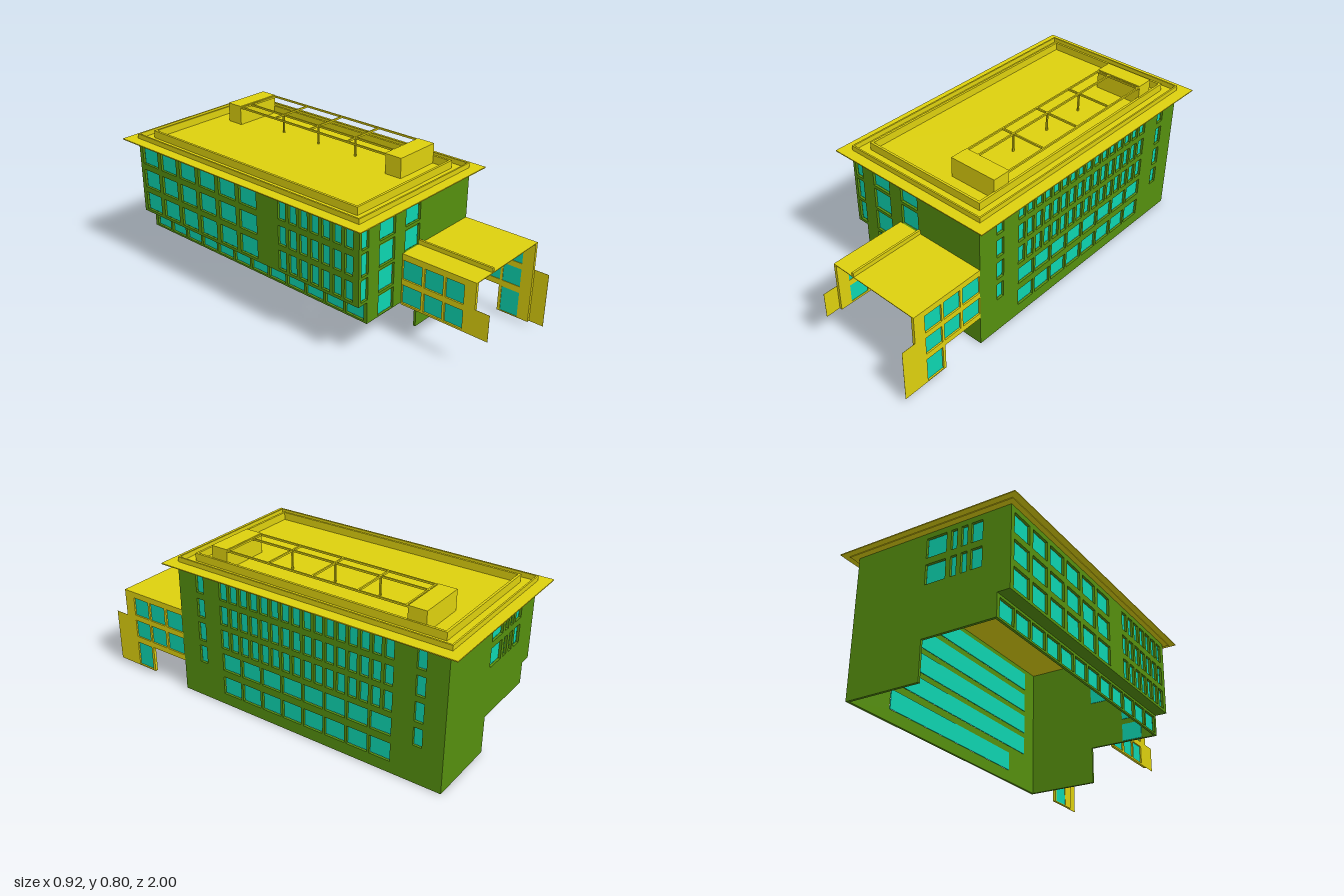
import * as THREE from 'three';

const mat = (color) => new THREE.MeshStandardMaterial({ color, side: THREE.DoubleSide, flatShading: true });
const T = 0.012; // wall thickness

export function createModel() {
  const model = new THREE.Group();
  const green = mat(0x558f0e), yellow = mat(0xddd00e), cyan = mat(0x0dd4b0);

  const add = (name, geometry, material, parent = model) => {
    const m = new THREE.Mesh(geometry, material);
    m.name = name;
    parent.add(m);
    return m;
  };
  // Box given by its limits on each axis
  const box = (name, material, x0, x1, y0, y1, z0, z1, parent) => {
    const m = add(name, new THREE.BoxGeometry(x1 - x0, y1 - y0, z1 - z0), material, parent);
    m.position.set((x0 + x1) / 2, (y0 + y1) / 2, (z0 + z1) / 2);
    return m;
  };
  // Flat outline with rectangular openings [u0, u1, y0, y1]
  const panel = (outline, openings) => {
    const s = new THREE.Shape(outline.map(([u, y]) => new THREE.Vector2(u, y)));
    for (const [a, b, c, d] of openings) {
      s.holes.push(new THREE.Path([[a, c], [a, d], [b, d], [b, c]].map(([u, y]) => new THREE.Vector2(u, y))));
    }
    return s;
  };
  const extrude = (shape, depth) => new THREE.ExtrudeGeometry(shape, { depth, bevelEnabled: false });

  // Wall with openings; glass strips run behind each storey. out = +1 if local +z faces outdoors
  const wall = (name, outline, rows, out, header = 0) => {
    const g = new THREE.Group();
    g.name = name;
    const openings = rows.flatMap(({ y, cols }) => cols.map(([a, b]) => [a, b, y[0], y[1] + header]));
    add(name + 'Shell', extrude(panel(outline, openings), T), green, g);
    const [z0, z1] = out > 0 ? [-0.004, -0.0005] : [T + 0.0005, T + 0.004];
    for (const { y, cols } of rows) {
      const us = cols.flat(), a = Math.min(...us), b = Math.max(...us);
      box('windowGlass', cyan, a, b, y[0], y[1], z0, z1, g);
      if (header) box('windowHeader', green, a, b, y[1], y[1] + header, z0, z1, g);
    }
    model.add(g);
    return g;
  };
  const series = (start, pitch, width, n) =>
    Array.from({ length: n }, (_, i) => [start + i * pitch, start + i * pitch + width]);

  // Storeys, top to bottom
  const Y = [[0.572, 0.668], [0.443, 0.54], [0.315, 0.413], [0.193, 0.285], [0.06, 0.155]];
  const X0 = -0.405, XS = -0.345, X1 = 0.4, Z0 = -0.94, Z1 = 0.53, TOP = 0.698;
  const stepped = [[X0, 0.3], [XS, 0.3], [XS, 0.19], [0.022, 0.19], [0.022, 0], [X1, 0], [X1, TOP], [X0, TOP]];

  // Front wall
  const fa = [-0.388, -0.342], fb = [-0.267, -0.16], fc = [-0.085, 0.021];
  wall('frontWall', stepped, [
    { y: Y[0], cols: [fa, fb, fc] }, { y: Y[1], cols: [fa, fb, fc] },
    { y: Y[2], cols: [fa, fb] }, { y: Y[3], cols: [fb] },
  ], 1, 0.015).position.z = Z1 - T;

  // Back wall
  const backCols = [[-0.266, -0.21], [-0.19, -0.16], [-0.137, -0.107], [-0.083, 0.021]];
  wall('backWall', stepped, [0, 1].map((i) => ({ y: Y[i], cols: backCols })), -1).position.z = Z0;

  // Tall wall on the left side (+x)
  const ends = [[0.375, 0.42], [-0.835, -0.79]];
  const narrow = series(-0.68, 0.0608, 0.044, 16), wide = series(-0.68, 0.1207, 0.108, 8);
  const leftWall = wall('leftWall', [[Z0, 0], [Z1, 0], [Z1, TOP], [Z0, TOP]],
    Y.map((y, i) => ({ y, cols: (i < 3 ? narrow : wide).concat(i < 4 ? ends : []) })), -1);
  // Side walls turn so that local x runs along z
  leftWall.rotation.y = -Math.PI / 2;
  leftWall.position.x = X1;

  // Overhanging upper wall and set-back lower wall on the right side (-x)
  const big = series(-0.915, 0.142, 0.115, 6), small = series(0.05, 0.0665, 0.047, 7);
  const upper = wall('rightUpperWall', [[Z0, 0.3], [Z1, 0.3], [Z1, TOP], [Z0, TOP]],
    [0, 1, 2].map((i) => ({ y: Y[i], cols: big.concat(small) })), 1);
  const lower = wall('rightLowerWall', [[Z0, 0.19], [Z1, 0.19], [Z1, 0.3], [Z0, 0.3]],
    [{ y: [0.2, 0.287], cols: series(-0.92, 0.1205, 0.105, 12) }], 1);
  for (const [w, x] of [[upper, X0], [lower, XS]]) {
    w.rotation.y = -Math.PI / 2;
    w.position.x = x + T;
  }
  box('overhangSoffit', green, X0, XS + T, 0.3, 0.306, Z0, Z1);

  // Roof slab
  box('roofSlab', yellow, -0.46, 0.46, 0.698, 0.703, -1, 0.58);
  box('roofSoffit', yellow, -0.43, 0.43, 0.694, 0.698, -0.97, 0.555);

  // Two parapet rings
  const ring = (name, x0, x1, z0, z1, y1, t) => {
    const rect = (a, b, c, d) => [[a, c], [b, c], [b, d], [a, d]];
    const m = add(name, extrude(panel(rect(x0, x1, -z1, -z0), [[x0 + t, x1 - t, -z1 + t, -z0 - t]]), y1 - 0.703), yellow);
    m.rotation.x = -Math.PI / 2;
    m.position.y = 0.703;
  };
  ring('outerParapet', X0, X1, -0.945, 0.527, 0.728, 0.008);
  ring('innerParapet', -0.345, 0.342, -0.887, 0.467, 0.742, 0.012);

  // Rooftop plant boxes joined by an open frame
  for (const [a, b] of [[-0.787, -0.697], [0.275, 0.366]]) box('plantBox', yellow, 0.08, 0.334, 0.703, 0.804, a, b);
  for (const x of [0.08, 0.146, 0.326]) box('frameRail', yellow, x, x + 0.008, 0.793, 0.802, -0.697, 0.275);
  for (const z of [-0.69, -0.453, -0.212, 0.03, 0.267]) {
    box('frameCrossbar', yellow, 0.08, 0.334, 0.793, 0.802, z, z + 0.008);
    if (Math.abs(z + 0.212) < 0.3) box('framePost', yellow, 0.146, 0.154, 0.703, 0.795, z, z + 0.008);
  }

  // Entrance canopy: thin roof with an upstand beam
  box('canopyRoof', yellow, -0.1, X1, 0.441, 0.445, Z1, 0.925);
  box('canopyBeam', yellow, 0.021, 0.032, 0.445, 0.467, Z1, 0.925);

  // Glazed side screens, each with a thin fin in front
  const bays = [[0.533, 0.64], [0.655, 0.755], [0.768, 0.865]];
  const screen = (name, x, outline, openings, glassX, fin) => {
    const g = new THREE.Group();
    g.name = name;
    const frame = add('screenFrame', extrude(panel(outline, openings), 0.015), yellow, g);
    frame.rotation.y = -Math.PI / 2;
    frame.position.x = x;
    for (const [a, b, c, d] of openings) box('screenGlass', cyan, glassX - 0.002, glassX + 0.002, c, d, a, b, g);
    const [fx, fy0, fy1] = fin;
    box('screenFin', yellow, fx - 0.0005, fx + 0.0005, fy0, fy1, 0.92, 1, g);
    model.add(g);
  };
  const upperBays = [[0.315, 0.413], [0.19, 0.285]].flatMap(([c, d]) => bays.map(([a, b]) => [a, b, c, d]));
  screen('leftScreen', X1,
    [[Z1, 0.16], [0.753, 0.16], [0.753, 0.02], [0.925, 0.02], [0.925, 0.445], [Z1, 0.445]],
    [...upperBays, [0.768, 0.865, 0.025, 0.157]], 0.39, [0.3995, 0.02, 0.3]);
  screen('rightScreen', -0.085,
    [[Z1, 0.18], [0.925, 0.18], [0.925, 0.445], [Z1, 0.445]],
    upperBays, -0.09, [-0.0995, 0.18, 0.315]);

  return model;
}
